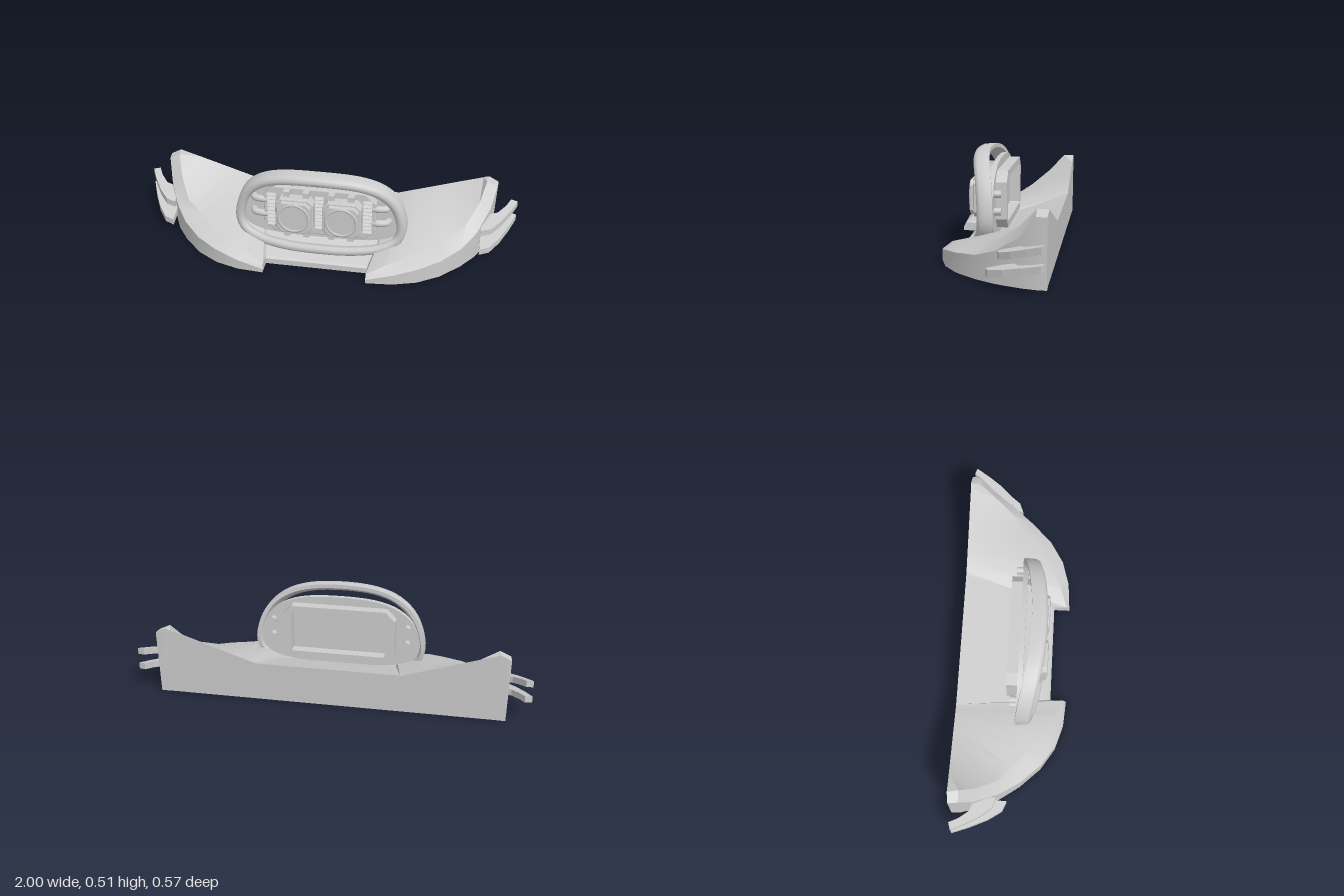
import * as THREE from 'three';
import { toCreasedNormals } from 'three/addons/utils/BufferGeometryUtils.js';

const grey = new THREE.MeshStandardMaterial({ color: 0xcccccc });
grey.name = 'light grey';

function add(parent, name, geo, x = 0, y = 0, z = 0) {
  const m = new THREE.Mesh(geo, grey);
  m.name = name;
  m.position.set(x, y, z);
  parent.add(m);
  return m;
}

// Skin through equal-length closed rings of [x, y, z]
function loft(rings, closed) {
  const n = rings[0].length, r = rings.length, idx = [];
  for (let i = 0; i < (closed ? r : r - 1); i++) {
    for (let j = 0; j < n; j++) {
      const a = i * n + j, b = i * n + (j + 1) % n;
      const k = ((i + 1) % r) * n, c = k + j, d = k + (j + 1) % n;
      idx.push(a, b, c, b, d, c);
    }
  }
  if (!closed) {
    const e = (r - 1) * n;
    for (let j = 1; j < n - 1; j++) idx.push(0, j + 1, j, e, e + j, e + j + 1);
  }
  const g = new THREE.BufferGeometry();
  g.setAttribute('position', new THREE.Float32BufferAttribute(rings.flat(2), 3));
  g.setIndex(idx);
  g.computeVertexNormals();
  return g;
}

const shapeOf = pts => new THREE.Shape(pts.map(p => new THREE.Vector2(p[0], p[1])));
const extrude = (shape, depth, bevel = 0) => new THREE.ExtrudeGeometry(shape, {
  depth: depth - 2 * bevel, bevelEnabled: bevel > 0, bevelSize: bevel,
  bevelThickness: bevel, bevelOffset: -bevel, bevelSegments: 2, curveSegments: 20,
}).translate(0, 0, bevel);

// Rectangle with cut corners
const octagon = (w, h, c) => shapeOf([
  [-w + c, -h], [w - c, -h], [w, -h + c], [w, h - c],
  [w - c, h], [-w + c, h], [-w, h - c], [-w, -h + c]]);

function body() {
  // outer x, z, bottom x, outer height | ridge x, y, z | back edge x, y
  const half = [
    [0.89, -0.28, 0.88, 0.325, 0.84, 0.35, -0.285, 0.83, 0.35],
    [0.885, -0.23, 0.875, 0.325, 0.83, 0.35, -0.23, 0.81, 0.342],
    [0.86, -0.16, 0.855, 0.23, 0.8, 0.265, -0.15, 0.74, 0.32],
    [0.8, -0.04, 0.8, 0.15, 0.74, 0.185, -0.05, 0.64, 0.288],
    [0.73, 0.06, 0.73, 0.112, 0.66, 0.15, 0.015, 0.56, 0.262],
    [0.63, 0.165, 0.63, 0.095, 0.57, 0.13, 0.1, 0.48, 0.236],
    [0.52, 0.235, 0.52, 0.08, 0.46, 0.113, 0.18, 0.42, 0.217],
    [0.4, 0.272, 0.4, 0.055, 0.36, 0.085, 0.23, 0.39, 0.207],
    [0.265, 0.283, 0.265, 0.02, 0.265, 0.045, 0.268, 0.37, 0.2],
    [0.265, 0.2, 0.265, 0.03, 0.265, 0.04, 0.19, 0.36, 0.2],
  ];
  const ring = (p, s) => [
    [s * p[2], 0, p[1]], [s * p[0], p[3], p[1]], [s * p[4], p[5], p[6]],
    [s * p[7], p[8], -0.284], [s * p[7], 0, -0.278]];
  const rings = [...half.map(p => ring(p, 1)), ...half.map(p => ring(p, -1)).reverse()];
  return toCreasedNormals(loft(rings, false), 0.45);
}

// Outer outline of the oval frame
const half = [[0.2, 0.053], [0.33, 0.073], [0.415, 0.12], [0.445, 0.19], [0.43, 0.3],
  [0.385, 0.39], [0.31, 0.455], [0.2, 0.495]];
const outline = new THREE.CatmullRomCurve3(
  [[0, 0.05], ...half, [0, 0.51], ...half.map(p => [-p[0], p[1]]).reverse()]
    .map(p => new THREE.Vector3(p[0], p[1], 0)), true);

function frame() {
  // inset and depth of the rolled lip, front to back and round again
  const section = [[0.002, -0.02], [0, -0.05], [0, -0.08], [0.02, -0.08], [0.038, -0.05],
    [0.05, -0.025], [0.05, -0.012], [0.04, -0.002], [0.025, 0], [0.01, -0.006]];
  const rings = [];
  for (let i = 0; i < 72; i++) {
    const p = outline.getPointAt(i / 72), t = outline.getTangentAt(i / 72);
    const front = 0.1 + 0.062 * (1 - (p.x / 0.445) ** 2);
    rings.push(section.map(([d, z]) => [p.x - t.y * d, p.y + t.x * d, front + z]));
  }
  return toCreasedNormals(loft(rings, true), 0.9);
}

// Swept side blade: plan outline, sheared upwards towards the back
function fin(side, squash, y, slope) {
  const plan = [[0.82, 0], [0.87, -0.02], [0.92, -0.09], [0.965, -0.18], [1, -0.265],
    [0.965, -0.278], [0.94, -0.22], [0.9, -0.16], [0.82, -0.12]];
  const pts = plan.map(([x, z]) => [x * side, -0.27 + (z + 0.27) * squash]);
  const g = extrude(shapeOf(pts), 0.033);
  const p = g.attributes.position;
  for (let i = 0; i < p.count; i++) {
    const z = p.getY(i), h = p.getZ(i);
    p.setXYZ(i, p.getX(i), y - slope * z - h, z);
  }
  g.computeVertexNormals();
  return g;
}

function fan() {
  const g = new THREE.Group();
  g.name = 'fan';
  // Square housing with a round opening, in two steps
  for (const [s, z, d, r] of [[0.098, 0.09, 0.06, 0.082], [0.088, 0.14, 0.03, 0.078]]) {
    const shape = octagon(s, s, 0.025);
    shape.holes.push(new THREE.Path().absarc(0, 0, r, 0, Math.PI * 2, true));
    add(g, 'fanHousing', extrude(shape, d, 0.006), 0, 0, z);
  }
  add(g, 'fanRim', new THREE.TorusGeometry(0.077, 0.009, 8, 32), 0, 0, 0.165);
  add(g, 'fanInnerRing', new THREE.TorusGeometry(0.055, 0.005, 6, 28), 0, 0, 0.14);
  add(g, 'fanHub', new THREE.CylinderGeometry(0.02, 0.024, 0.06, 16).rotateX(Math.PI / 2), 0, 0, 0.125);
  for (let i = 0; i < 7; i++) {
    const a = i / 7 * Math.PI * 2;
    const blade = add(g, 'fanBlade', new THREE.BoxGeometry(0.064, 0.02, 0.012),
      Math.cos(a) * 0.047, Math.sin(a) * 0.047, 0.13);
    blade.rotation.set(0.5, 0, a, 'ZYX');
  }
  return g;
}

export function createModel() {
  const model = new THREE.Group();
  model.name = 'bumper';
  add(model, 'bumperBody', body());
  add(model, 'ovalFrame', frame());

  // Flat backing panel inside the frame
  const panel = shapeOf(outline.getSpacedPoints(60).slice(0, 60)
    .map(p => [p.x * 0.94, 0.27 + (p.y - 0.27) * 0.8]));
  add(model, 'backingPanel', extrude(panel, 0.025), 0, 0, 0.025);

  // Housing with an open recess at the back and a cut-corner front block
  const rear = octagon(0.295, 0.142, 0.05);
  rear.holes.push(new THREE.Path(octagon(0.245, 0.108, 0.005).getPoints().reverse()));
  add(model, 'rearHousing', extrude(rear, 0.056), 0, 0.277, -0.03);
  add(model, 'frontBlock', extrude(octagon(0.29, 0.135, 0.055), 0.05, 0.006), 0, 0.273, 0.045);

  for (const s of [-1, 1]) {
    const f = fan();
    f.position.set(s * 0.122, 0.273, 0);
    model.add(f);

    // Side blades
    add(model, 'upperFin', fin(s, 0.8, 0.14, 0.31));
    add(model, 'lowerFin', fin(s, 1, 0.076, 0.24));

    // Bent pipes passing through the panel
    for (const y of [0.235, 0.32]) {
      const path = new THREE.CatmullRomCurve3([[0.26, 0.08], [0.31, 0.082], [0.343, 0.07],
        [0.352, 0.04], [0.352, -0.01]].map(p => new THREE.Vector3(s * p[0], y, p[1])));
      add(model, 'pipe', new THREE.TubeGeometry(path, 20, 0.018, 12));
      add(model, 'pipeEnd', new THREE.CircleGeometry(0.018, 12).rotateY(Math.PI), s * 0.352, y, -0.01);
    }

    // Clamps above and below the fans
    for (const x of [0.065, 0.165])
      for (const y of [0.153, 0.39])
        add(model, 'clamp', new THREE.BoxGeometry(0.032, 0.028, 0.05), s * x, y, 0.107);
  }

  // Toothed ribs between and beside the fans
  for (const x of [-0.247, 0, 0.247])
    for (let i = 0; i < 9; i++) {
      const tooth = shapeOf([[0, -0.009], [0.018, 0], [0, 0.009]]);
      add(model, 'rib', extrude(tooth, 0.045).rotateY(-Math.PI / 2).translate(0.0225, 0, 0),
        x, 0.185 + i * 0.022, 0.093);
    }
  return model;
}
